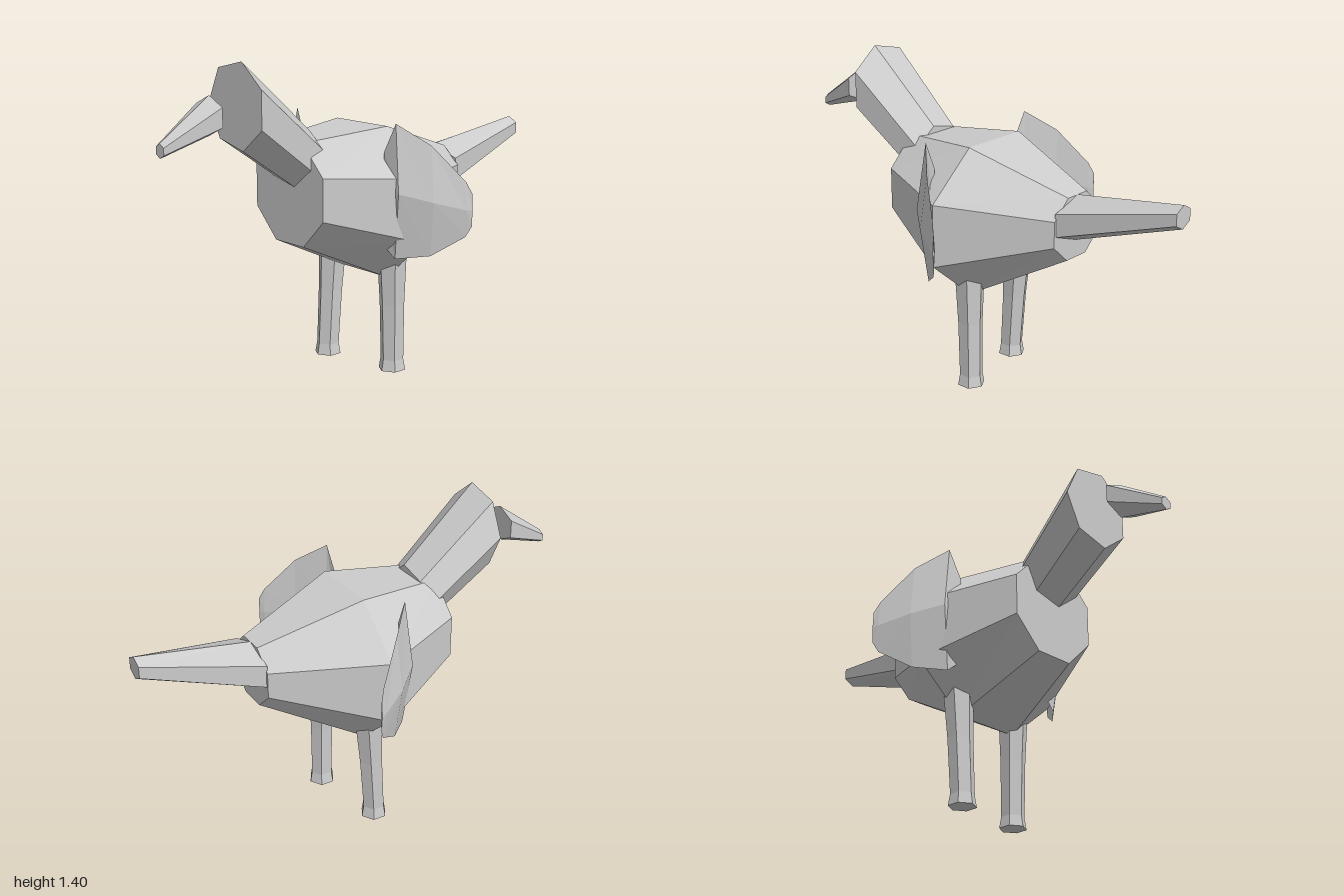
import * as THREE from 'three';

const grey = new THREE.MeshStandardMaterial({ color: 0xcccccc, flatShading: true });
grey.name = 'plain grey';

// Closed loft through rings of [x, y, z] points, faces turned outward by signed volume
function loft(name, rings) {
  const n = rings[0].length;
  const tris = [];
  for (let r = 0; r + 1 < rings.length; r++) {
    for (let i = 0; i < n; i++) {
      const j = (i + 1) % n;
      const [a, b, c, d] = [rings[r][i], rings[r][j], rings[r + 1][j], rings[r + 1][i]];
      tris.push([a, b, c], [a, c, d]);
    }
  }
  const first = rings[0], last = rings[rings.length - 1];
  for (let i = 1; i + 1 < n; i++) {
    tris.push([first[0], first[i + 1], first[i]], [last[0], last[i], last[i + 1]]);
  }
  let volume = 0;
  const [a, b, c] = [0, 1, 2].map(() => new THREE.Vector3());
  for (const t of tris) {
    a.fromArray(t[0]); b.fromArray(t[1]); c.fromArray(t[2]);
    volume += a.dot(b.cross(c));
  }
  if (volume < 0) tris.forEach((t) => t.reverse());
  const geometry = new THREE.BufferGeometry();
  geometry.setAttribute('position', new THREE.Float32BufferAttribute(tris.flat(2), 3));
  geometry.computeVertexNormals();
  const mesh = new THREE.Mesh(geometry, grey);
  mesh.name = name;
  return mesh;
}

// Upright polygon ring facing z, with radii rx and ry
function ringZ(sides, start, y, z, rx, ry) {
  return Array.from({ length: sides }, (_, i) => {
    const t = start + (i / sides) * Math.PI * 2;
    return [rx * Math.cos(t), y + ry * Math.sin(t), z];
  });
}

// Level hexagon ring for a leg, with corners at front and back
function ringY(x, y, z, r) {
  return Array.from({ length: 6 }, (_, i) => {
    const t = (i / 6) * Math.PI * 2;
    return [x + r * Math.sin(t), y, z + r * Math.cos(t)];
  });
}

export function createModel() {
  const group = new THREE.Group();
  group.name = 'bird';

  // Body: three flat-sided octagons, sized by their half width and half height
  const flat = 1 / Math.cos(Math.PI / 8);
  const octagon = (y, z, w, h) => ringZ(8, Math.PI / 8, y, z, w * flat, h * flat);
  group.add(loft('body', [
    octagon(0.83, 0.37, 0.22, 0.22),
    octagon(0.753, -0.04, 0.39, 0.333),
    octagon(0.803, -0.49, 0.15, 0.137),
  ]));

  // Neck: seven-sided, rising forward
  group.add(loft('neck', [
    ringZ(7, Math.PI, 0.945, 0.285, 0.152, 0.148),
    ringZ(7, Math.PI, 1.22, 0.635, 0.185, 0.185),
  ]));

  // Beak and tail: tapered hexagons with a ridge on top
  const wide = 1 / Math.cos(Math.PI / 6);
  const hexagon = (y, z, w, h) => ringZ(6, Math.PI / 2, y, z, w * wide, h);
  group.add(loft('beak', [
    hexagon(1.195, 0.765, 0.088, 0.08),
    hexagon(1.08, 1, 0.027, 0.03),
  ]));
  group.add(loft('tail', [
    hexagon(0.84, -0.485, 0.14, 0.1),
    hexagon(0.965, -1, 0.048, 0.05),
  ]));

  // Legs: one set slightly ahead of the other
  for (const [name, x, zFoot, zTop] of [['leftLeg', 0.179, -0.06, -0.055], ['rightLeg', -0.179, 0.007, -0.025]]) {
    group.add(loft(name, [
      ringY(x, 0, zFoot, 0.061),
      ringY(x, 0.05, zFoot, 0.052),
      ringY(x, 0.3, (zFoot + zTop) / 2, 0.056),
      ringY(x, 0.53, zTop, 0.067),
    ]));
  }

  // Wings: thin curved blades, ribs given as x, z, bottom, top, bulge
  const ribs = [
    [0.26, 0.07, 0.6, 1.0, 0.01],
    [0.32, 0.06, 0.55, 1.125, 0.04],
    [0.425, -0.045, 0.565, 1.035, 0.03],
    [0.515, -0.16, 0.645, 0.88, 0.012],
    [0.533, -0.18, 0.69, 0.83, 0.004],
  ];
  for (const [name, s] of [['leftWing', 1], ['rightWing', -1]]) {
    group.add(loft(name, ribs.map(([x, z, low, high, b]) => {
      const mid = (low + high) / 2;
      return [
        [s * x, high, z],
        [s * (x + b), mid, z + b * 0.5],
        [s * x, low, z],
        [s * (x - b * 0.4), mid, z - b * 0.4],
      ];
    })));
  }
  return group;
}
